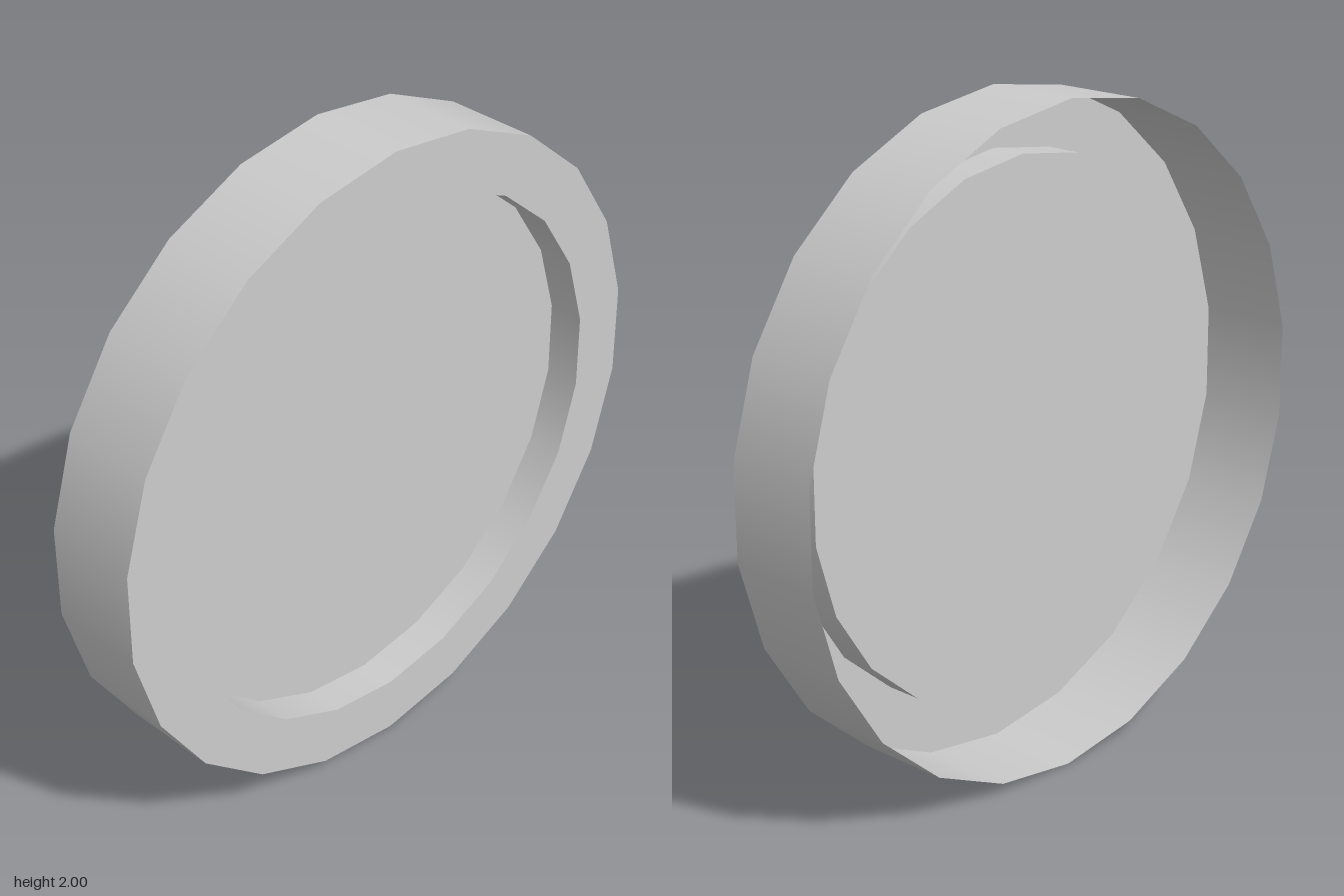
import * as THREE from 'three';

const SIDES = 22;
const OUTER = 1;      // rim radius
const INNER = 0.82;   // recess radius
const HALF = 0.147;   // half of the depth
const PANEL_Z = 0.035; // recessed panel

export function createModel() {
  const group = new THREE.Group();
  // thin open shells, seen from both sides
  const material = new THREE.MeshStandardMaterial({ color: 0xcccccc, side: THREE.DoubleSide });

  const add = (name, geometry, z) => {
    const mesh = new THREE.Mesh(geometry, material);
    mesh.name = name;
    mesh.position.set(0, OUTER, z);
    group.add(mesh);
  };

  // open tube along z, with a corner at the top
  const wall = (radius, z0, z1) =>
    new THREE.CylinderGeometry(radius, radius, z1 - z0, SIDES, 1, true).rotateX(Math.PI / 2);

  // outer wall, open at the back
  add('outerWall', wall(OUTER, -HALF, HALF), 0);

  // flat front rim
  add('frontRim', new THREE.RingGeometry(INNER, OUTER, SIDES, 1, Math.PI / 2), HALF);

  // step from the rim back to the panel
  add('recessWall', wall(INNER, PANEL_Z, HALF), (PANEL_Z + HALF) / 2);

  // recessed panel
  add('panel', new THREE.CircleGeometry(INNER, SIDES, Math.PI / 2), PANEL_Z);

  return group;
}
